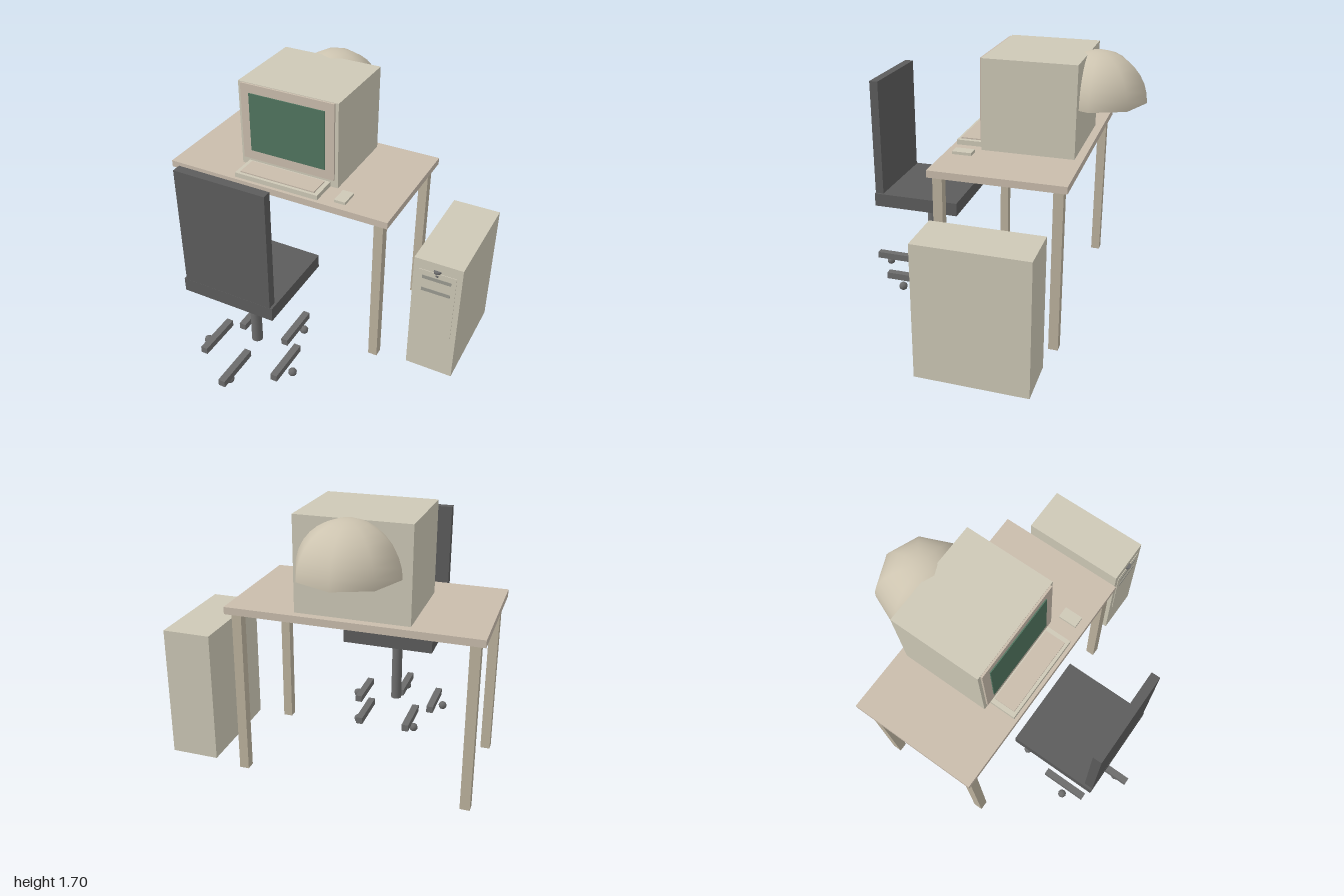
import * as THREE from 'three';

const mat = (color, opts = {}) => new THREE.MeshStandardMaterial({ color, ...opts });

export function createModel() {
  const model = new THREE.Group();
  const beige = mat(0xcdc8b6), tan = mat(0xc9bcac), wood = mat(0xbcb29e);
  const dark = mat(0x5c5c5c), metal = mat(0x6c6c6c), green = mat(0x50745f), grey = mat(0x9a9a90);

  const group = (name) => {
    const g = new THREE.Group();
    g.name = name;
    model.add(g);
    return g;
  };
  const add = (parent, name, geometry, material, x, y, z) => {
    const mesh = new THREE.Mesh(geometry, material);
    mesh.name = name;
    mesh.position.set(x, y, z);
    parent.add(mesh);
    return mesh;
  };
  // box given by its extents along each axis
  const box = (parent, name, material, [x0, x1], [y0, y1], [z0, z1]) =>
    add(parent, name, new THREE.BoxGeometry(x1 - x0, y1 - y0, z1 - z0), material,
      (x0 + x1) / 2, (y0 + y1) / 2, (z0 + z1) / 2);

  // desk
  const desk = group('desk');
  box(desk, 'deskTop', tan, [-1, 0.535], [1.065, 1.11], [-0.613, 0.225]);
  for (const x of [-0.97, 0.44])
    for (const z of [-0.585, 0.142])
      box(desk, 'deskLeg', wood, [x, x + 0.06], [0.013, 1.065], [z, z + 0.06]);

  // monitor, with the half dome behind it
  const monitor = group('monitor');
  box(monitor, 'monitorCase', beige, [-0.577, 0.112], [1.11, 1.688], [-0.562, 0.025]);
  box(monitor, 'bezel', tan, [-0.555, 0.09], [1.165, 1.685], [0.02, 0.038]);
  box(monitor, 'screen', green, [-0.495, 0.03], [1.23, 1.627], [0.03, 0.045]);
  const domeGeometry = new THREE.SphereGeometry(0.306, 8, 8, 0, Math.PI * 2, 0, Math.PI / 2);
  add(monitor, 'rearDome', domeGeometry, mat(0xcdc4b0, { side: THREE.DoubleSide }), -0.232, 1.398, -0.622);

  // keyboard and mouse
  const input = group('inputDevices');
  box(input, 'keyboard', beige, [-0.525, 0.06], [1.11, 1.142], [0.02, 0.203]);
  box(input, 'keys', tan, [-0.495, 0.03], [1.14, 1.15], [0.043, 0.183]);
  box(input, 'mouse', beige, [0.16, 0.235], [1.11, 1.128], [0.05, 0.172]);

  // chair
  const chair = group('chair');
  const cx = -0.232, cz = 0.5;
  box(chair, 'seat', dark, [-0.54, 0.075], [0.613, 0.702], [0.21, 0.79]);
  box(chair, 'backrest', dark, [-0.525, 0.06], [0.702, 1.473], [0.733, 0.789]);
  add(chair, 'post', new THREE.CylinderGeometry(0.035, 0.037, 0.51, 16), metal, cx, 0.358, cz);

  // five feet around the post, all lying along z, each with a caster
  const footGeometry = new THREE.BoxGeometry(0.046, 0.046, 0.31);
  const casterGeometry = new THREE.SphereGeometry(0.029, 8, 8);
  for (let i = 0; i < 5; i++) {
    const a = (i / 5) * Math.PI * 2, s = Math.sin(a), c = Math.cos(a);
    add(chair, 'foot', footGeometry, metal, cx + 0.277 * s, 0.074, cz + 0.277 * c);
    add(chair, 'caster', casterGeometry, metal, cx + 0.34 * s, 0.033, cz + 0.34 * c);
  }

  // computer tower
  const tower = group('tower');
  box(tower, 'towerCase', beige, [0.69, 1], [0.013, 0.87], [-0.54, 0.152]);
  box(tower, 'frontPanel', beige, [0.725, 0.965], [0.32, 0.8], [0.14, 0.156]);
  for (const y of [0.738, 0.645])
    box(tower, 'driveSlot', grey, [0.75, 0.935], [y, y + 0.024], [0.145, 0.159]);
  add(tower, 'powerButton', new THREE.CylinderGeometry(0.024, 0.024, 0.012, 8), metal, 0.842, 0.812, 0.152);
  add(tower, 'resetButton', new THREE.CylinderGeometry(0.01, 0.01, 0.01, 8), metal, 0.842, 0.781, 0.153);

  return model;
}
